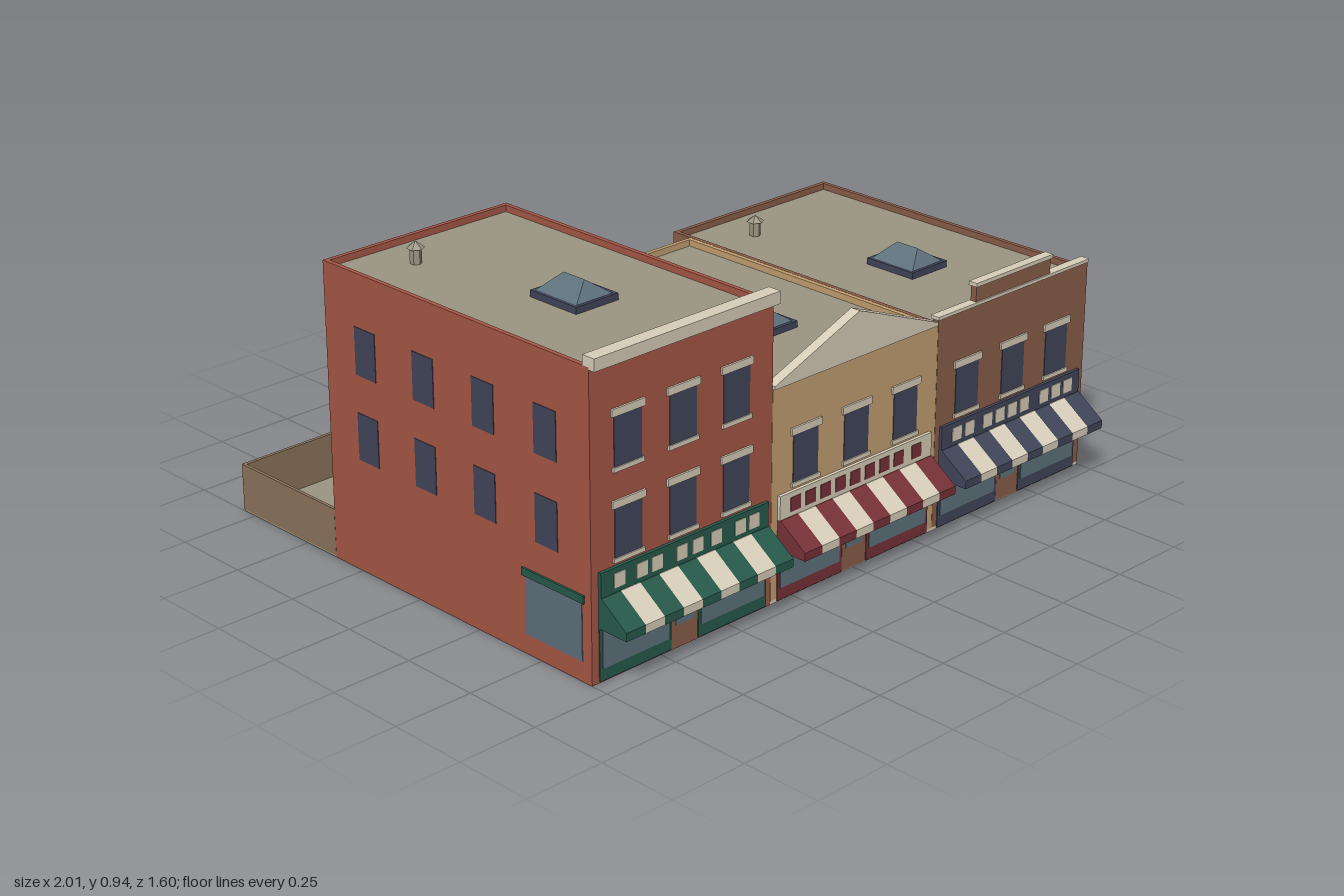
import * as THREE from 'three';

export function createModel() {
  const root = new THREE.Group();
  root.name = 'shopRow';
  const colours = {
    brick: 0xa65846, brownBrick: 0x8b5e4a, tan: 0xc4a071, cream: 0xd9cfbb, roofGrey: 0x9c9582,
    navy: 0x414559, green: 0x275a4b, maroon: 0x773238, glass: 0x5e717b, timber: 0x8c745b
  };
  const M = {};
  for (const [name, color] of Object.entries(colours)) {
    M[name] = new THREE.MeshStandardMaterial({ color });
    M[name].name = name;
  }
  M.roofGrey.side = THREE.DoubleSide; // canopies are open sheets

  const add = (parent, name, geo, mat) => {
    const m = new THREE.Mesh(geo, mat);
    m.name = name;
    parent.add(m);
    return m;
  };
  const box = (parent, name, mat, x0, x1, y0, y1, z0, z1) => {
    const m = add(parent, name, new THREE.BoxGeometry(x1 - x0, y1 - y0, z1 - z0), mat);
    m.position.set((x0 + x1) / 2, (y0 + y1) / 2, (z0 + z1) / 2);
    return m;
  };
  const group = (name) => {
    const g = new THREE.Group();
    g.name = name;
    root.add(g);
    return g;
  };
  const flat = (geo) => {
    const g = geo.index ? geo.toNonIndexed() : geo;
    g.computeVertexNormals();
    return g;
  };
  const shape = (pts) => new THREE.Shape(pts.map(p => new THREE.Vector2(...p)));
  const F = 0.695; // front wall plane

  // Body, roof sheet and low parapet
  function body(g, mat, x0, x1, z0, h, base) {
    const t = 0.014, roof = h - 0.02;
    box(g, 'walls', mat, x0, x1, base, roof - 0.003, z0, F);
    box(g, 'roof', M.roofGrey, x0 + t, x1 - t, roof - 0.003, roof, z0 + t, F - t);
    box(g, 'leftParapet', mat, x1 - t, x1, roof - 0.003, h, z0, F);
    box(g, 'rightParapet', mat, x0, x0 + t, roof - 0.003, h, z0, F);
    box(g, 'rearParapet', mat, x0 + t, x1 - t, roof - 0.003, h, z0, z0 + t);
    box(g, 'frontParapet', mat, x0 + t, x1 - t, roof - 0.003, h, F - t, F);
  }

  // Front window with lintel and sill
  function frontWindow(g, x, y0) {
    box(g, 'frontWindow', M.navy, x - 0.049, x + 0.049, y0, y0 + 0.155, F, F + 0.002);
    box(g, 'lintel', M.cream, x - 0.059, x + 0.059, y0 + 0.145, y0 + 0.167, F, F + 0.006);
    box(g, 'sill', M.cream, x - 0.055, x + 0.055, y0 - 0.01, y0 + 0.003, F, F + 0.006);
  }

  // Shopfront, sign board and striped awning
  function shop(g, cx, mat, boardMat, blockMat, blocks) {
    const w = 0.31;
    for (const s of [-1, 1]) {
      const a = cx + s * 0.051, b = cx + s * w;
      const lo = Math.min(a, b), hi = Math.max(a, b);
      box(g, 'shopFrame', mat, lo, hi, 0.004, 0.25, F, F + 0.003);
      box(g, 'shopWindow', M.glass, lo + 0.01, hi - 0.01, 0.04, 0.2, F + 0.003, F + 0.005);
    }
    box(g, 'shopDoor', M.brownBrick, cx - 0.049, cx + 0.049, 0.004, 0.22, F, F + 0.002);
    box(g, 'doorGlass', M.glass, cx - 0.034, cx + 0.034, 0.07, 0.19, F + 0.002, F + 0.004);
    box(g, 'signBoard', boardMat, cx - w, cx + w, 0.25, 0.322, F, F + 0.01);
    blocks.forEach(x => box(g, 'signBlock', blockMat, cx + x - 0.02, cx + x + 0.02, 0.264, 0.306, F + 0.01, F + 0.012));
    const n = 9, sw = 2 * w / n;
    const profile = shape([[F, 0.16], [0.8, 0.16], [0.8, 0.185], [F + 0.012, 0.25], [F, 0.25]]);
    for (let i = 0; i < n; i++) {
      const geo = new THREE.ExtrudeGeometry(profile, { depth: sw, bevelEnabled: false });
      geo.rotateY(-Math.PI / 2);
      add(g, 'awningStripe', geo, i % 2 ? M.cream : mat).position.x = cx - w + (i + 1) * sw;
    }
  }

  // Hipped skylight on a dark curb
  function skylight(g, x, z, h) {
    box(g, 'skylightCurb', M.navy, x - 0.076, x + 0.076, h - 0.02, h, z - 0.09, z + 0.09);
    const geo = new THREE.BoxGeometry(0.13, 0.045, 0.16);
    const p = geo.attributes.position;
    for (let i = 0; i < p.count; i++) if (p.getY(i) > 0) p.setXYZ(i, 0, p.getY(i), p.getZ(i) * 0.5);
    add(g, 'skylightGlass', flat(geo), M.glass).position.set(x, h + 0.0225, z);
  }

  // Roof vent with conical cap
  function vent(g, x, z, h) {
    add(g, 'ventPipe', flat(new THREE.CylinderGeometry(0.017, 0.017, 0.045, 6)), M.roofGrey).position.set(x, h + 0.0025, z);
    add(g, 'ventCap', flat(new THREE.CylinderGeometry(0.003, 0.027, 0.018, 6)), M.roofGrey).position.set(x, h + 0.034, z);
  }

  const rear = (g, name, mat, x, y0, y1, z, w = 0.085) =>
    box(g, name, mat, x - w / 2, x + w / 2, y0, y1, z - 0.002, z);

  // Side windows and corner display window, s = +1 on the left side
  function sideWall(g, s, rows, mat) {
    const plate = (name, m, d, y0, y1, z0, z1) =>
      box(g, name, m, s > 0 ? 1 : -1 - d, s > 0 ? 1 + d : -1, y0, y1, z0, z1);
    for (const y of rows) for (const z of [0.527, 0.285, 0.043, -0.2])
      plate('sideWindow', M.navy, 0.002, y, y + 0.142, z - 0.043, z + 0.043);
    plate('cornerWindow', M.glass, 0.002, 0.06, 0.232, 0.44, 0.66);
    plate('cornerHeader', mat, 0.006, 0.232, 0.255, 0.43, 0.67);
  }

  // Rear landing with posts, stair flight, door and canopy
  function rearStair(g, x, z) {
    const x1 = x + 0.135, zf = z - 0.095;
    box(g, 'landing', M.brownBrick, x, x1, 0.3, 0.315, zf, z);
    for (const px of [x + 0.005, x1 - 0.005]) {
      box(g, 'outerPost', M.brownBrick, px - 0.004, px + 0.004, 0.01, 0.41, zf, zf + 0.008);
      box(g, 'innerPost', M.brownBrick, px - 0.004, px + 0.004, 0.3, 0.41, z - 0.02, z - 0.012);
    }
    box(g, 'rearRail', M.brownBrick, x, x1, 0.402, 0.41, zf, zf + 0.008);
    const flight = shape([[x - 0.27, 0.01], [x - 0.235, 0.01], [x, 0.28], [x, 0.315], [x - 0.005, 0.315]]);
    const geo = new THREE.ExtrudeGeometry(flight, { depth: 0.075, bevelEnabled: false });
    add(g, 'stairFlight', geo, M.timber).position.z = z - 0.09;
    const sheet = add(g, 'canopy', new THREE.PlaneGeometry(0.135, 0.105).rotateX(-Math.PI / 2), M.roofGrey);
    sheet.position.set(x + 0.0675, 0.52, z - 0.0525);
    rear(g, 'landingDoor', M.navy, x + 0.03, 0.315, 0.48, z);
    rear(g, 'rearWindow', M.navy, x - 0.29, 0.345, 0.485, z);
    rear(g, 'rearShopWindow', M.glass, x - 0.29, 0.09, 0.2, z, 0.1);
  }

  // Tall brick building
  const tall = group('tallBuilding');
  body(tall, M.brick, -1, -0.335, -0.37, 0.9, 0);
  box(tall, 'cornice', M.cream, -1, -0.33, 0.893, 0.929, 0.672, 0.716);
  for (const x of [-0.867, -0.67, -0.472]) for (const y of [0.34, 0.597]) frontWindow(tall, x, y);
  shop(tall, -0.665, M.green, M.green, M.cream, [-0.244, -0.164, -0.11, -0.019, 0.04, 0.11, 0.2, 0.253]);
  sideWall(tall, -1, [0.345, 0.6], M.green);
  for (const x of [-0.83, -0.5]) for (const y of [0.345, 0.6]) rear(tall, 'rearWindow', M.navy, x, y, y + 0.142, -0.37);
  rear(tall, 'rearDoor', M.brownBrick, -0.52, 0.012, 0.185, -0.37);
  rear(tall, 'rearShopWindow', M.glass, -0.83, 0.09, 0.2, -0.37, 0.1);
  box(tall, 'wallPanel', M.cream, -0.335, -0.333, 0.615, 0.827, -0.18, 0.503);
  for (let i = 0; i < 5; i++) {
    const z = 0.421 - i * 0.1325;
    box(tall, 'panelBlock', M.maroon, -0.333, -0.331, 0.64, 0.758, z - 0.051, z + 0.051);
  }
  skylight(tall, -0.67, 0.283, 0.9);
  vent(tall, -0.8, -0.215, 0.9);

  // Middle building with gabled front
  const mid = group('middleBuilding');
  body(mid, M.tan, -0.334, 0.334, -0.3, 0.64, 0.01);
  const gable = new THREE.ExtrudeGeometry(shape([[-0.33, 0.64], [0.33, 0.64], [0.33, 0.65], [0, 0.777], [-0.33, 0.65]]), { depth: 0.032, bevelEnabled: false });
  add(mid, 'gable', gable, M.cream).position.z = 0.667;
  for (const x of [-0.203, 0, 0.203]) frontWindow(mid, x, 0.34);
  shop(mid, 0, M.maroon, M.cream, M.maroon, [-0.25, -0.19, -0.13, -0.07, -0.01, 0.05, 0.11, 0.17, 0.245]);
  box(mid, 'chimney', M.tan, -0.322, -0.265, 0.61, 0.757, 0.007, 0.064);
  box(mid, 'chimneyCap', M.navy, -0.328, -0.26, 0.757, 0.768, 0, 0.07);
  skylight(mid, 0, 0.305, 0.64);
  vent(mid, -0.135, -0.15, 0.64);
  rearStair(mid, 0.165, -0.3);

  // Brown building with stepped front
  const low = group('brownBuilding');
  body(low, M.brownBrick, 0.335, 1, -0.37, 0.64, 0.01);
  box(low, 'frontUpstand', M.brownBrick, 0.335, 1, 0.64, 0.655, 0.675, F);
  box(low, 'frontCap', M.cream, 0.33, 1, 0.655, 0.665, 0.67, 0.7);
  box(low, 'raisedFront', M.brownBrick, 0.495, 0.825, 0.665, 0.712, 0.675, F);
  box(low, 'raisedCap', M.cream, 0.49, 0.83, 0.712, 0.724, 0.67, 0.7);
  for (const x of [0.467, 0.67, 0.867]) frontWindow(low, x, 0.34);
  shop(low, 0.665, M.navy, M.navy, M.cream, [-0.245, -0.19, -0.11, -0.055, 0, 0.055, 0.145, 0.2, 0.255]);
  sideWall(low, 1, [0.345], M.navy);
  skylight(low, 0.665, 0.283, 0.64);
  vent(low, 0.53, -0.215, 0.64);
  rearStair(low, 0.83, -0.37);

  // Paving under the shops, yard floor and fence
  const yard = group('yard');
  box(yard, 'paving', M.cream, -0.335, 1, 0, 0.01, -0.37, F);
  box(yard, 'yardFloor', M.roofGrey, -1, 1, 0, 0.01, -0.8, -0.37);
  box(yard, 'rearFence', M.timber, -1, 1, 0.005, 0.15, -0.801, -0.79);
  for (const s of [-1, 1]) box(yard, 'sideFence', M.timber, s * 0.9955 - 0.005, s * 0.9955 + 0.005, 0.005, 0.15, -0.79, -0.37);

  // Bins and crates
  const bin = (mat, x, z, r, h) =>
    add(yard, 'bin', flat(new THREE.CylinderGeometry(r, r * 0.9, h, 6)), mat).position.set(x, 0.01 + h / 2, z);
  for (const x of [-0.945, -0.882, -0.82]) bin(M.roofGrey, x, -0.418, 0.024, 0.1);
  bin(M.maroon, 0.825, -0.735, 0.026, 0.1);
  bin(M.green, 0.84, -0.668, 0.026, 0.1);
  box(yard, 'largeCrate', M.brownBrick, 0.583, 0.673, 0.01, 0.08, -0.768, -0.68);
  box(yard, 'smallCrate', M.brownBrick, 0.6, 0.656, 0.08, 0.13, -0.752, -0.696);
  box(yard, 'crate', M.brownBrick, 0.69, 0.765, 0.01, 0.085, -0.766, -0.692);
  return root;
}
